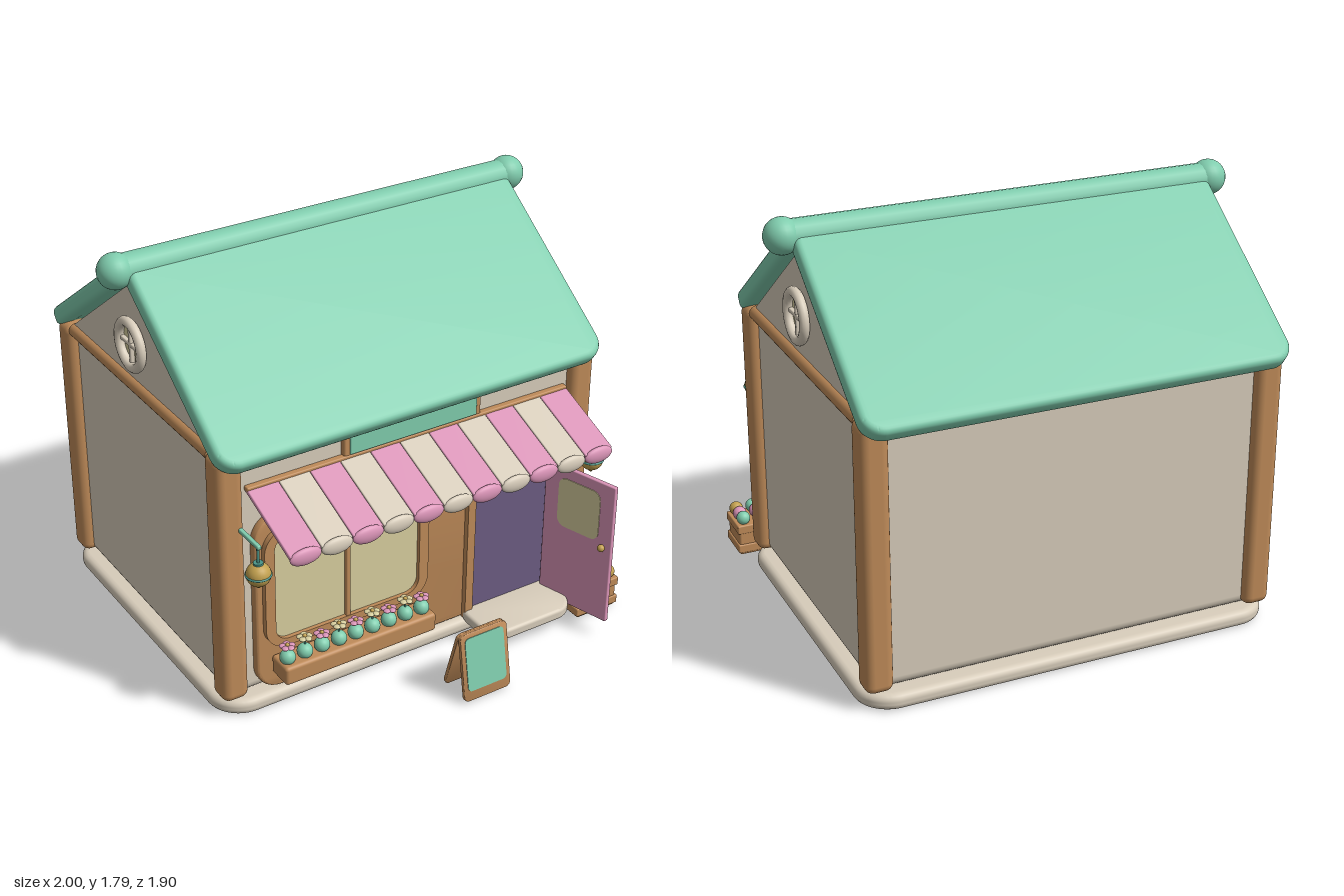
import * as THREE from 'three';
import { toCreasedNormals } from 'three/addons/utils/BufferGeometryUtils.js';
import { RoundedBoxGeometry } from 'three/addons/geometries/RoundedBoxGeometry.js';

const mat = (name, color) => {
  const m = new THREE.MeshStandardMaterial({ color });
  m.name = name;
  return m;
};

export function createModel() {
  const model = new THREE.Group();
  model.name = 'shop';
  const teal = mat('teal', 0x80cdae), cream = mat('cream', 0xd8cdbb), wood = mat('wood', 0xbf8b59);
  const pink = mat('pink', 0xdb95b8), glass = mat('glass', 0xd8cf9f), gold = mat('gold', 0xc2a04e);
  const purple = mat('doorway purple', 0x6c5c82), darkTeal = mat('dark teal', 0x4a9488);

  const add = (name, geo, material, x = 0, y = 0, z = 0, parent = model) => {
    const m = new THREE.Mesh(geo, material);
    m.name = name;
    m.position.set(x, y, z);
    parent.add(m);
    return m;
  };
  const group = (name, x = 0, y = 0, z = 0) => {
    const g = new THREE.Group();
    g.name = name;
    g.position.set(x, y, z);
    model.add(g);
    return g;
  };
  const rbox = (w, h, d, r = 0.01) => new RoundedBoxGeometry(w, h, d, 3, r);
  const cyl = (r, h) => new THREE.CylinderGeometry(r, r, h, 16);
  const ball = (r) => new THREE.SphereGeometry(r, 24, 16);

  // Rounded rectangle and arch outlines
  const roundRect = (w, h, r, P = THREE.Shape) => {
    const s = new P(), a = w / 2, b = h / 2;
    s.moveTo(-a + r, -b).lineTo(a - r, -b);
    s.absarc(a - r, -b + r, r, -Math.PI / 2, 0);
    s.absarc(a - r, b - r, r, 0, Math.PI / 2);
    s.absarc(-a + r, b - r, r, Math.PI / 2, Math.PI);
    s.absarc(-a + r, -b + r, r, Math.PI, Math.PI * 1.5);
    return s;
  };
  const arch = (r, bottom, spring, P = THREE.Shape) => {
    const s = new P();
    s.moveTo(-r, bottom).lineTo(r, bottom).lineTo(r, spring);
    s.absarc(0, spring, r, 0, Math.PI);
    s.lineTo(-r, bottom);
    return s;
  };
  // Slab of total depth d, centred on z, with softened edges
  const slab = (shape, d, bevel = 0) => {
    const g = new THREE.ExtrudeGeometry(shape, {
      depth: d - 2 * bevel, bevelEnabled: bevel > 0, bevelThickness: bevel,
      bevelSize: bevel, bevelOffset: -bevel, bevelSegments: 4, curveSegments: 12,
    });
    g.translate(0, 0, -(d - 2 * bevel) / 2);
    return toCreasedNormals(g, 0.7);
  };

  // Foundation, walls and corner posts
  add('foundation', slab(roundRect(1.81, 1.44, 0.15), 0.07, 0.03), cream, 0, 0.035, -0.165).rotation.x = -Math.PI / 2;
  add('walls', rbox(1.7, 1.13, 1.33, 0.05), cream, 0, 0.635, -0.165);
  for (const x of [-0.836, 0.836]) {
    for (const z of [0.482, -0.812]) add('cornerPost', rbox(0.116, 1.13, 0.116, 0.035), wood, x, 0.645, z);
    add('gableBeam', cyl(0.032, 1.2), wood, x * 1.02, 1.19, -0.165).rotation.x = Math.PI / 2;
  }

  // Gable prism under the roof
  const tri = new THREE.Shape();
  tri.moveTo(-0.67, 1.16).lineTo(0.67, 1.16).lineTo(0, 1.655).closePath();
  add('gable', slab(tri, 1.72), cream, 0, 0, -0.17).rotation.y = Math.PI / 2;

  // Round gable windows
  for (const s of [-1, 1]) {
    const v = group('gableWindow', s * 0.865, 1.39, -0.17);
    v.rotation.y = s * Math.PI / 2;
    add('windowRing', new THREE.TorusGeometry(0.097, 0.021, 12, 36), cream, 0, 0, 0.018, v);
    add('windowPane', new THREE.CircleGeometry(0.09, 32), glass, 0, 0, 0.004, v);
    add('windowBarUpright', rbox(0.018, 0.17, 0.02, 0.005), cream, 0, 0, 0.012, v);
    add('windowBarCross', rbox(0.17, 0.018, 0.02, 0.005), cream, 0, 0, 0.012, v);
  }

  // Roof halves, ridge and end balls
  const roofGeo = slab(roundRect(1.8, 0.95, 0.09), 0.08, 0.025);
  for (const turn of [0, Math.PI]) {
    const half = group('roofHalf', 0, 0, -0.17);
    half.rotation.y = turn;
    add('roofSlab', roofGeo, teal, 0, 1.455, 0.37, half).rotation.x = -0.948;
  }
  add('ridge', cyl(0.065, 1.84), teal, 0, 1.717, -0.17).rotation.z = Math.PI / 2;
  for (const x of [-0.926, 0.926]) add('ridgeBall', ball(0.074), teal, x, 1.72, -0.17);

  // Wooden shop front and the board under the eave
  add('frontPanel', slab(roundRect(1.48, 0.82, 0.11), 0.05, 0.012), wood, 0, 0.49, 0.51);
  add('boardFrame', rbox(0.65, 0.17, 0.04), wood, 0, 1.125, 0.505);
  add('boardFace', rbox(0.6, 0.15, 0.02, 0.005), teal, 0, 1.13, 0.522);

  // Display window
  const frame = roundRect(0.77, 0.56, 0.1);
  frame.holes.push(roundRect(0.68, 0.49, 0.06, THREE.Path));
  add('windowFrame', slab(frame, 0.03), wood, -0.325, 0.565, 0.545);
  add('windowGlass', slab(roundRect(0.69, 0.5, 0.06), 0.008), glass, -0.325, 0.565, 0.538);
  add('mullion', rbox(0.02, 0.5, 0.02, 0.006), wood, -0.325, 0.545, 0.548);

  // Flower box with bushes and blooms
  add('flowerBox', rbox(0.72, 0.085, 0.12, 0.015), wood, -0.32, 0.21, 0.6);
  for (let i = 0; i < 9; i++) {
    const x = -0.645 + i * 0.08, y = i % 2 ? 0.338 : 0.324, bloom = i % 2 ? glass : pink;
    add('bush', ball(0.033), teal, x, 0.272, 0.61);
    add('stem', cyl(0.004, y - 0.27), darkTeal, x, (y + 0.27) / 2, 0.61);
    for (let k = 0; k < 5; k++) {
      const a = k * Math.PI * 0.4;
      add('petal', ball(0.015), bloom, x + 0.019 * Math.cos(a), y, 0.61 + 0.019 * Math.sin(a)).scale.y = 0.5;
    }
    add('bloomCentre', ball(0.009), gold, x, y + 0.006, 0.61);
  }

  // Arched doorway and step
  const jamb = arch(0.225, 0.08, 0.685);
  jamb.holes.push(arch(0.187, 0.09, 0.685, THREE.Path));
  add('doorFrame', slab(jamb, 0.03), wood, 0.482, 0, 0.545);
  add('doorway', slab(arch(0.19, 0.09, 0.685), 0.008), purple, 0.482, 0, 0.538);
  add('doorStep', slab(roundRect(0.45, 0.28, 0.1), 0.05, 0.015), cream, 0.475, 0.092, 0.625).rotation.x = -Math.PI / 2;

  // Open door leaf, hinged on its +x side
  const door = group('door', 0.662, 0.412, 0.555);
  door.rotation.y = -1.29;
  add('doorLeaf', rbox(0.35, 0.665, 0.022, 0.005), pink, 0.175, 0, 0, door);
  add('doorPane', slab(roundRect(0.21, 0.235, 0.04), 0.028), glass, 0.178, 0.165, 0, door);
  for (const z of [-0.022, 0.022]) add('doorKnob', ball(0.016), gold, 0.308, 0.03, z, door);

  // Striped awning with scalloped edge
  const tilt = Math.atan2(0.135, 0.335), w = 1.52 / 11;
  add('awningRail', rbox(1.52, 0.022, 0.03, 0.006), wood, 0, 1.042, 0.515);
  for (let i = 0; i < 11; i++) {
    const x = (i - 5) * w, m = i % 2 ? cream : pink;
    add('awningStripe', rbox(w - 0.002, 0.02, 0.365, 0.005), m, x, 0.975, 0.668).rotation.x = tilt;
    add('awningScallop', ball(1), m, x, 0.898, 0.838).scale.set(w / 2, 0.036, 0.019);
  }

  // Hanging lanterns on brackets
  for (const x of [-0.8, 0.8]) {
    const l = group('lantern', x, 0.76, 0.67);
    add('bracket', rbox(0.018, 0.018, 0.15, 0.005), teal, 0, 0.125, -0.06, l);
    add('hanger', cyl(0.006, 0.09), darkTeal, 0, 0.085, 0, l);
    add('lanternGlobe', ball(0.05), gold, 0, 0, 0, l);
    add('lanternBand', new THREE.TorusGeometry(0.049, 0.005, 8, 28), darkTeal, 0, 0, 0, l).rotation.x = Math.PI / 2;
    add('lanternCap', cyl(0.02, 0.012), darkTeal, 0, 0.048, 0, l);
    add('lanternTip', ball(0.01), gold, 0, -0.052, 0, l);
  }

  // Folding pavement board
  const lean = (z, angle, turn) => {
    const g = group('pavementBoard', 0.095, 0.158, z);
    g.rotation.set(angle, turn, 0);
    add('boardPanel', slab(roundRect(0.23, 0.305, 0.025), 0.018, 0.004), wood, 0, 0, 0, g);
    add('boardSurface', slab(roundRect(0.19, 0.24, 0.02), 0.008), teal, 0, 0.012, 0.008, g);
  };
  lean(0.925, -0.17, 0);
  lean(0.848, 0.28, Math.PI);

  // Fruit crate
  add('crate', rbox(0.205, 0.14, 0.16, 0.01), wood, 0.836, 0.074, 0.652);
  for (const y of [0.035, 0.128]) add('crateSlat', rbox(0.22, 0.04, 0.172, 0.006), wood, 0.836, y, 0.652);
  const fruit = [gold, teal, pink];
  for (let i = 0; i < 3; i++) {
    for (let j = 0; j < 3; j++) {
      add('fruit', ball(0.03), fruit[(i === 2 ? 3 - j : i + j) % 3], 0.762 + i * 0.074, 0.172, 0.703 - j * 0.052);
    }
  }
  return model;
}
